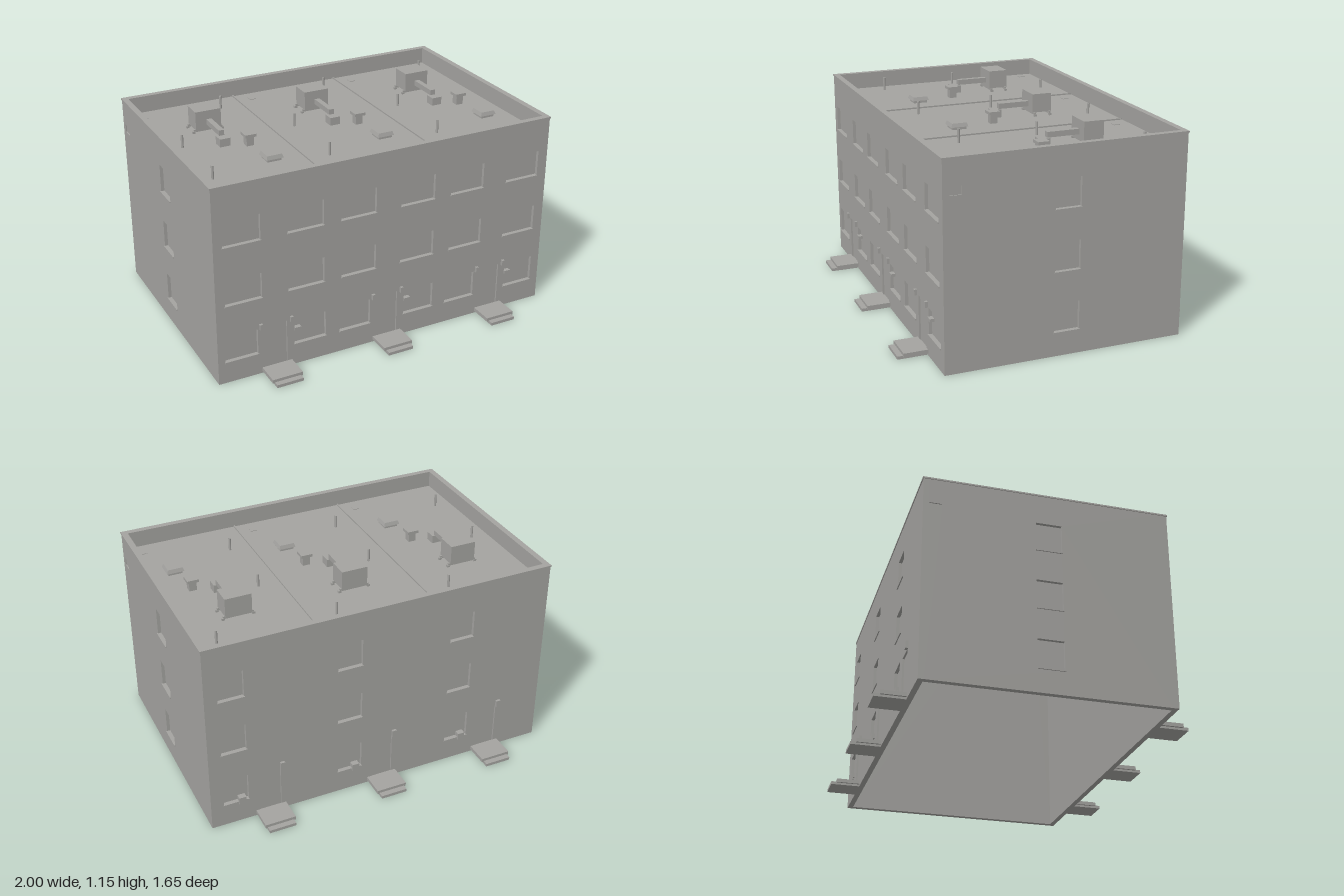
import * as THREE from 'three';

const stone = new THREE.MeshStandardMaterial({ color: 0xa4a3a0 });
stone.name = 'warm grey';

const HX = 0.993, HZ = 0.663, H = 1.124, T = 0.03, ROOF = 1.03;
const BAYS = [-0.659, 0, 0.659];

// box given by its min and max corners
function box(parent, name, x0, x1, y0, y1, z0, z1) {
  const mesh = new THREE.Mesh(new THREE.BoxGeometry(x1 - x0, y1 - y0, z1 - z0), stone);
  mesh.position.set((x0 + x1) / 2, (y0 + y1) / 2, (z0 + z1) / 2);
  mesh.name = name;
  parent.add(mesh);
  return mesh;
}

// wall with recessed openings; its outer face lies on local z = 0
function wall(name, half, openings) {
  const group = new THREE.Group();
  group.name = name;
  const shape = new THREE.Shape();
  shape.moveTo(-half, 0).lineTo(half, 0).lineTo(half, H).lineTo(-half, H).closePath();
  for (const o of openings) {
    const hole = new THREE.Path();
    hole.moveTo(o.x0, o.y0).lineTo(o.x0, o.y1).lineTo(o.x1, o.y1).lineTo(o.x1, o.y0).closePath();
    shape.holes.push(hole);
    box(group, o.name + 'Panel', o.x0, o.x1, o.y0, o.y1, -T, -o.depth);
    if (o.name === 'window') {
      box(group, 'windowSill', o.x0 - 0.003, o.x1 + 0.003, o.y0 - 0.004, o.y0 + 0.004, -0.02, 0.006);
    }
  }
  const geo = new THREE.ExtrudeGeometry(shape, { depth: T, bevelEnabled: false });
  geo.translate(0, 0, -T);
  const mesh = new THREE.Mesh(geo, stone);
  mesh.name = name + 'Panel';
  group.add(mesh);
  return group;
}

const opening = (name, cx, w, y0, y1, depth) =>
  ({ name, x0: cx - w / 2, x1: cx + w / 2, y0, y1, depth });
const tallWindows = (cx) => [0.13, 0.46, 0.793].map((y) => opening('window', cx, 0.14, y, y + 0.16, 0.018));

// door landing with one lower step
function steps(parent, cx) {
  box(parent, 'doorLanding', cx - 0.086, cx + 0.086, 0.012, 0.033, 0, 0.132);
  box(parent, 'doorStep', cx - 0.075, cx + 0.075, 0, 0.017, 0, 0.163);
}

function frontWall() {
  const openings = [];
  for (const b of BAYS) {
    for (const y of [0.452, 0.785]) {
      openings.push(opening('window', b - 0.181, 0.205, y, y + 0.148, 0.018));
      openings.push(opening('window', b + 0.173, 0.205, y, y + 0.148, 0.018));
    }
    openings.push(opening('window', b - 0.202, 0.186, 0.122, 0.273, 0.018));
    openings.push(opening('window', b + 0.191, 0.184, 0.122, 0.273, 0.018));
    openings.push(opening('door', b - 0.003, 0.12, 0.025, 0.279, 0.01));
  }
  const g = wall('frontWall', HX, openings);
  for (const b of BAYS) {
    steps(g, b - 0.003);
    for (const x of [-0.092, 0.082]) box(g, 'wallLamp', b + x - 0.008, b + x + 0.008, 0.27, 0.302, 0, 0.015);
    box(g, 'mailbox', b + 0.1, b + 0.137, 0.208, 0.225, -0.018, 0.007);
  }
  g.position.z = HZ;
  return g;
}

function backWall() {
  const openings = [];
  for (const b of BAYS) {
    openings.push(...tallWindows(b - 0.192));
    openings.push(opening('door', b + 0.003, 0.12, 0.025, 0.279, 0.01));
  }
  const g = wall('backWall', HX, openings);
  for (const b of BAYS) {
    steps(g, b + 0.003);
    box(g, 'wallLamp', b + 0.06, b + 0.085, 0.275, 0.315, 0, 0.014);
    box(g, 'meterBox', b - 0.18, b - 0.14, 0.118, 0.16, -0.018, 0.014);
  }
  g.position.z = -HZ;
  g.rotation.y = Math.PI;
  return g;
}

function sideWall(name, side) {
  const g = wall(name, HZ - T, [...tallWindows(0), opening('vent', -0.597, 0.066, 0.933, 0.978, 0.006)]);
  g.position.x = side * HX;
  g.rotation.y = side * Math.PI / 2;
  return g;
}

// equipment repeated on the roof of each bay
function roofBay(b) {
  const g = new THREE.Group();
  g.name = 'roofEquipment';
  g.position.set(b, ROOF, 0);
  box(g, 'airUnit', -0.07, 0.078, 0.02, 0.125, -0.313, -0.2);
  for (const x of [-0.08, 0.088]) {
    for (const z of [-0.303, -0.212]) box(g, 'airUnitFoot', x - 0.008, x + 0.008, 0, 0.012, z - 0.007, z + 0.007);
  }
  for (const z of [-0.303, -0.212]) box(g, 'airUnitRail', -0.08, 0.088, 0.008, 0.022, z - 0.005, z + 0.005);
  box(g, 'duct', -0.008, 0.022, 0.045, 0.075, -0.2, -0.02);
  box(g, 'ductBase', -0.024, 0.036, 0, 0.045, -0.03, 0.03);
  box(g, 'ventStem', 0.108, 0.15, 0, 0.055, 0.04, 0.082);
  box(g, 'ventCap', 0.097, 0.162, 0.052, 0.068, 0.029, 0.093);
  box(g, 'hatchBase', 0.12, 0.2, 0, 0.02, 0.243, 0.323);
  // hatch lid with a narrowed top
  const lid = box(g, 'hatchLid', 0.111, 0.209, 0.015, 0.036, 0.234, 0.332);
  const p = lid.geometry.attributes.position;
  for (let i = 0; i < p.count; i++) {
    if (p.getY(i) > 0) p.setXYZ(i, p.getX(i) * 0.85, p.getY(i), p.getZ(i) * 0.85);
  }
  lid.geometry.computeVertexNormals();
  // vent pipes
  for (const [x, z] of [[0.192, -0.49], [-0.203, -0.06], [-0.208, 0.38]]) {
    const pipe = new THREE.Mesh(new THREE.CylinderGeometry(0.007, 0.007, 0.075, 10), stone);
    pipe.position.set(x, 0.0375, z);
    pipe.name = 'ventPipe';
    g.add(pipe);
  }
  // drains along both long sides
  for (const s of [-1, 1]) {
    const x = s * 0.246;
    box(g, 'roofDrain', x - 0.018, x + 0.018, 0, 0.003, s * 0.55 - 0.018, s * 0.55 + 0.018);
  }
  return g;
}

export function createModel() {
  const model = new THREE.Group();
  model.name = 'apartmentBuilding';
  model.add(frontWall(), backWall(), sideWall('leftWall', 1), sideWall('rightWall', -1));

  // flat roof behind the parapet
  box(model, 'roof', -HX + T, HX - T, ROOF - 0.02, ROOF, -HZ + T, HZ - T);
  for (const x of [-0.333, 0.331]) {
    box(model, 'roofDivider', x - 0.003, x + 0.003, ROOF, ROOF + 0.008, -HZ + T, HZ - T);
  }
  for (const b of BAYS) model.add(roofBay(b));

  // thin parapet coping
  const o = 0.004;
  for (const s of [-1, 1]) {
    const z = s * (HZ - T / 2 + o / 2), x = s * (HX - T / 2 + o / 2), w = (T + o) / 2;
    box(model, 'coping', -HX - o, HX + o, H - 0.008, H + 0.001, z - w, z + w);
    box(model, 'coping', x - w, x + w, H - 0.008, H + 0.001, -HZ + T, HZ - T);
  }
  return model;
}
